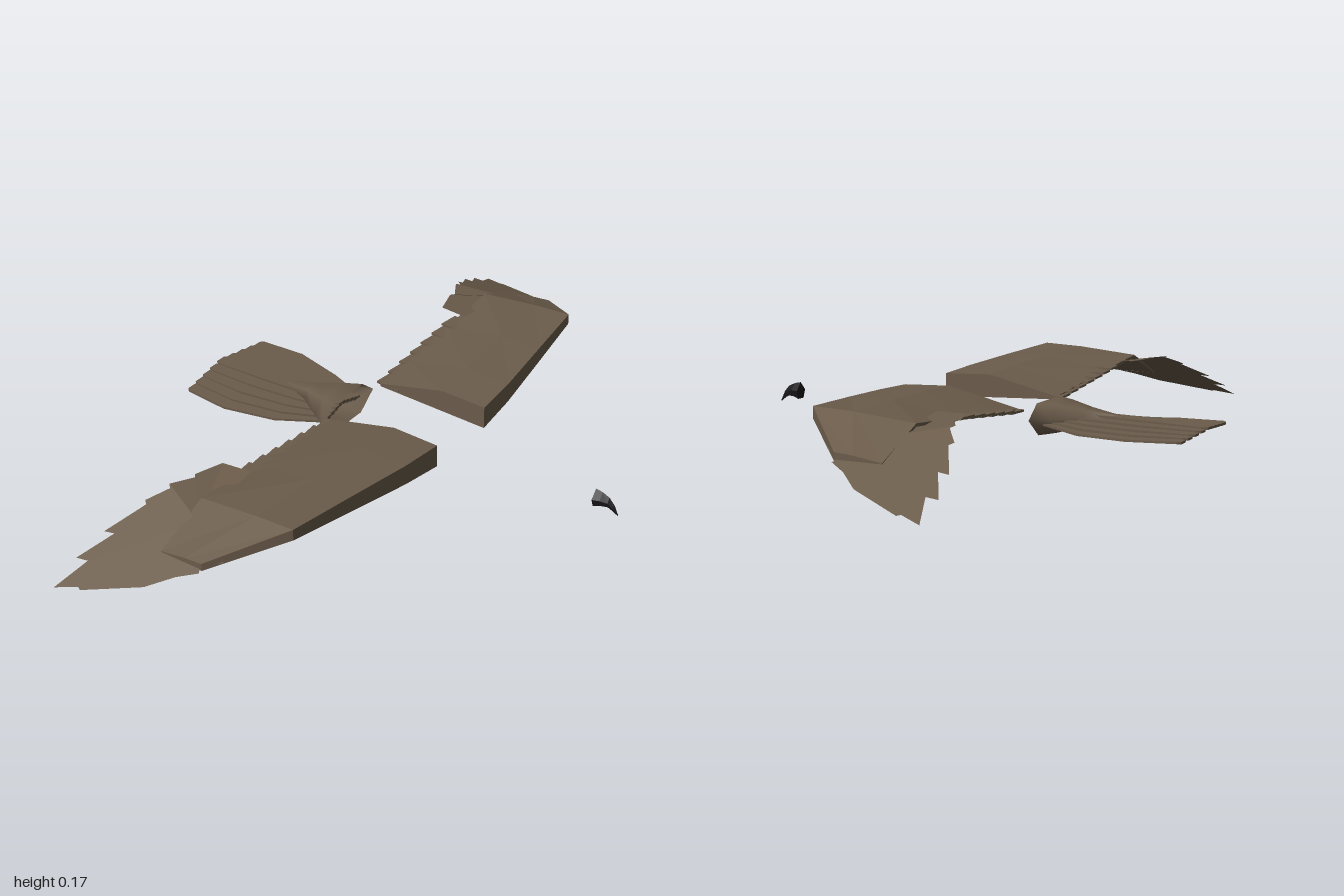
import * as THREE from 'three';
import { mergeVertices } from 'three/addons/utils/BufferGeometryUtils.js';

const brown = new THREE.MeshStandardMaterial({ color: 0x6b5c4b, side: THREE.DoubleSide });
brown.name = 'plumage brown';
const black = new THREE.MeshStandardMaterial({ color: 0x1c191c, side: THREE.DoubleSide });
black.name = 'beak black';

function meshFrom(triangles, name, material, smooth = false) {
  let geo = new THREE.BufferGeometry();
  geo.setAttribute('position', new THREE.Float32BufferAttribute(triangles.flat(2), 3));
  if (smooth) geo = mergeVertices(geo);
  geo.computeVertexNormals();
  const mesh = new THREE.Mesh(geo, material);
  mesh.name = name;
  return mesh;
}

// Skin between closed rings of points, with optional flat ends
function loft(rings, caps = true) {
  const tris = [];
  const n = rings[0].length;
  for (let i = 0; i < rings.length - 1; i++) {
    for (let j = 0; j < n; j++) {
      const k = (j + 1) % n;
      const a = rings[i][j], b = rings[i][k], c = rings[i + 1][k], d = rings[i + 1][j];
      tris.push([a, b, c], [a, c, d]);
    }
  }
  if (caps) {
    const first = rings[0], last = rings[rings.length - 1];
    for (let j = 1; j < n - 1; j++) {
      tris.push([first[0], first[j + 1], first[j]], [last[0], last[j], last[j + 1]]);
    }
  }
  return tris;
}

const lerp = THREE.MathUtils.lerp;

function makeWing(s) {
  const wing = new THREE.Group();
  wing.name = s > 0 ? 'leftWing' : 'rightWing';

  // Arm: blunt leading edge, arched underside, thin trailing edge
  // z, leading x, trailing x, leading bottom, leading top, middle bottom, middle top, trailing y
  const stations = [
    [0.115, 0.175, -0.17, 0.085, 0.15, 0.115, 0.156, 0.105],
    [0.25, 0.168, -0.17, 0.1, 0.157, 0.125, 0.163, 0.117],
    [0.45, 0.145, -0.17, 0.122, 0.167, 0.14, 0.17, 0.135],
    [0.66, 0.12, -0.17, 0.145, 0.176, 0.15, 0.172, 0.153],
    [0.82, -0.04, -0.17, 0.083, 0.104, 0.083, 0.1, 0.085],
  ];
  const rings = stations.map(([z, le, te, lb, lt, mb, mt, ty]) => {
    const mx = lerp(le, te, 0.4);
    return [[le, lb, z * s], [le, lt, z * s], [mx, mt, z * s],
      [te, ty + 0.004, z * s], [te, ty - 0.004, z * s], [mx, mb, z * s]];
  });
  wing.add(meshFrom(loft(rings), 'wingArm', brown));

  // Secondary feathers: a stepped row along the trailing edge
  for (let i = 0; i < 7; i++) {
    const z = 0.147 + i * 0.055;
    const feather = new THREE.Mesh(new THREE.BoxGeometry(0.08, 0.006, 0.062), brown);
    feather.name = 'secondaryFeather';
    feather.position.set(-0.144, lerp(0.107, 0.142, i / 6), z * s);
    feather.rotation.y = s * 0.1;
    wing.add(feather);
  }

  // Primary feathers: thin fan with notched tips, drooping beyond the wrist
  const drop = (z) => 0.16 - 0.46 * Math.max(0, z - 0.66);
  const point = ([x, z]) => [x, drop(z), z * s];
  const outline = [
    [-0.14, 0.5], [-0.225, 0.51], [-0.25, 0.59], [-0.24, 0.6], [-0.275, 0.66],
    [-0.265, 0.67], [-0.305, 0.72], [-0.295, 0.73], [-0.35, 0.83], [-0.32, 0.825],
    [-0.37, 0.915], [-0.335, 0.91], [-0.37, 1.0], [-0.31, 0.975], [-0.3, 0.98],
    [-0.15, 0.912], [-0.09, 0.86], [-0.04, 0.83], [-0.05, 0.815], [0, 0.785],
    [-0.01, 0.77], [0.06, 0.715],
  ].map(point);
  const hub = point([-0.13, 0.72]);
  const fan = [];
  for (let i = 0; i < outline.length - 1; i++) fan.push([hub, outline[i], outline[i + 1]]);
  wing.add(meshFrom(fan, 'primaryFeathers', brown));
  return wing;
}

function makeTail() {
  const tail = new THREE.Group();
  tail.name = 'tail';

  // Overlapping feathers, highest in the middle
  for (let i = -4; i <= 4; i++) {
    const t = i / 4, a = Math.abs(t);
    // x, sideways spread, half width, y
    const rings = [
      [-0.22, 0.07, 0.015, 0.088 - 0.02 * a],
      [-0.35, 0.12, 0.024, 0.09 - 0.03 * a],
      [-0.5, 0.155, 0.026, 0.087 - 0.023 * a],
      [-0.635 - 0.01 * (1 - a), 0.147, 0.023, 0.082 - 0.014 * a],
      [-0.645 - 0.015 * (1 - a), 0.147, 0.015, 0.081 - 0.014 * a],
    ].map(([x, spread, w, y]) => {
      const z = t * spread;
      return [[x, y + 0.003, z - w], [x, y + 0.003, z + w], [x, y - 0.003, z + w], [x, y - 0.003, z - w]];
    });
    tail.add(meshFrom(loft(rings), 'tailFeather', brown));
  }

  // Rump: open hollow cone tapering onto the feathers
  const section = [[0.12, -0.002], [0.07, 0.038], [-0.07, 0.038], [-0.12, -0.002], [-0.06, -0.05], [0.06, -0.05]];
  const rump = [[-0.2, 1, 1], [-0.25, 0.74, 0.85], [-0.32, 0.36, 0.5], [-0.42, 0.02, 0.1]].map(
    ([x, w, h]) => section.map(([z, y]) => [x, 0.082 + 0.006 * (1 - w) + y * h, z * w]));
  tail.add(meshFrom(loft(rump, false), 'rump', brown, true));
  return tail;
}

// Hooked beak: rings from the base to the downturned point
function makeBeak() {
  const rings = [
    [0.59, 0.063, 0.11, 0.022], [0.61, 0.069, 0.106, 0.017],
    [0.63, 0.07, 0.097, 0.01], [0.645, 0.061, 0.08, 0.006], [0.658, 0.05, 0.053, 0.001],
  ].map(([x, y0, y1, w]) => {
    const ym = lerp(y0, y1, 0.5);
    return [[x, y1, 0], [x, ym, w], [x, y0, w * 0.6], [x, y0, -w * 0.6], [x, ym, -w]];
  });
  return meshFrom(loft(rings), 'beak', black);
}

export function createModel() {
  const model = new THREE.Group();
  model.name = 'bird';
  model.add(makeWing(1), makeWing(-1), makeTail(), makeBeak());
  return model;
}
